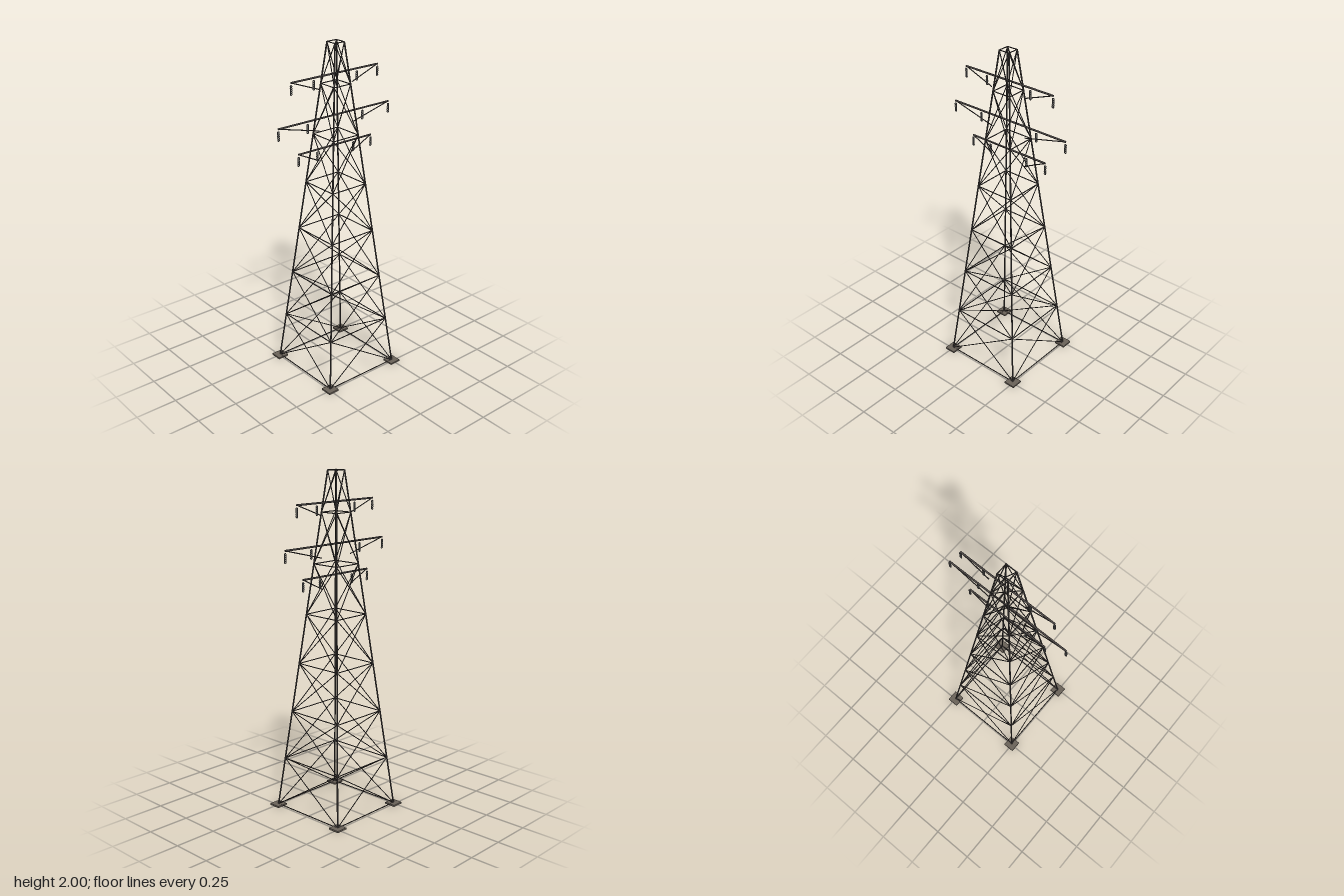
import * as THREE from 'three';

const steel = new THREE.MeshStandardMaterial({ color: 0x4a4543 });
const concrete = new THREE.MeshStandardMaterial({ color: 0x6b635a });
const ceramic = new THREE.MeshStandardMaterial({ color: 0x6a6a6a });

const V = (x, y, z) => new THREE.Vector3(x, y, z);
const UP = V(0, 1, 0);

// Straight round bar between two points
function bar(parent, name, a, b, radius) {
  const dir = b.clone().sub(a);
  const mesh = new THREE.Mesh(new THREE.CylinderGeometry(radius, radius, dir.length(), 8), steel);
  mesh.name = name;
  mesh.position.copy(a).add(b).multiplyScalar(0.5);
  mesh.quaternion.setFromUnitVectors(UP, dir.normalize());
  parent.add(mesh);
}

const BASE = 0.008, TOP = 1.997;
const halfWidth = (y) => THREE.MathUtils.lerp(0.246, 0.033, (y - BASE) / (TOP - BASE));
const levels = [BASE, 0.301, 0.594, 0.887, 1.18, 1.472, 1.764, TOP];

// Corner i (0..3) of the square tower section at height y
function corner(i, y) {
  const w = halfWidth(y);
  const sx = [1, 1, -1, -1][i % 4], sz = [1, -1, -1, 1][i % 4];
  return V(sx * w, y, sz * w);
}

// Hanging string of upright rings
const ring = new THREE.TorusGeometry(0.0055, 0.003, 6, 12);
function insulator(x, y) {
  const string = new THREE.Group();
  string.name = 'insulator';
  string.position.set(x, y, 0);
  for (let i = 0; i < 5; i++) {
    const link = new THREE.Mesh(ring, ceramic);
    link.name = 'insulatorRing';
    link.position.y = -0.02 - i * 0.0105;
    string.add(link);
  }
  return string;
}

export function createModel() {
  const model = new THREE.Group();
  model.name = 'transmissionTower';

  const tower = new THREE.Group();
  tower.name = 'latticeTower';
  model.add(tower);

  for (let i = 0; i < 4; i++) {
    // Foundation pad and tapering corner leg
    const foot = corner(i, BASE);
    const pad = new THREE.Mesh(new THREE.BoxGeometry(0.07, 0.01, 0.07), concrete);
    pad.name = 'foundationPad';
    pad.position.set(foot.x, 0.005, foot.z);
    tower.add(pad);
    bar(tower, 'cornerLeg', foot, corner(i, TOP), 0.0045);

    // Horizontal rails and crossed braces on this face
    levels.forEach((y, k) => {
      bar(tower, 'horizontalRail', corner(i, y), corner(i + 1, y), 0.003);
      if (k === levels.length - 1) return;
      const next = levels[k + 1];
      bar(tower, 'diagonalBrace', corner(i, y), corner(i + 1, next), 0.0026);
      bar(tower, 'diagonalBrace', corner(i + 1, y), corner(i, next), 0.0026);
    });
  }

  // Crossarms: height and half length
  for (const [y, half] of [[1.824, 0.305], [1.588, 0.395], [1.413, 0.263]]) {
    const arm = new THREE.Group();
    arm.name = 'crossarm';
    model.add(arm);
    bar(arm, 'crossarmBeam', V(-half, y, 0), V(half, y, 0), 0.0055);

    for (const side of [-1, 1]) {
      bar(arm, 'crossarmBrace', V(side * half, y, 0), V(side * 0.118, y - 0.07, 0), 0.003);
      // Insulators at the tip and halfway along
      for (const t of [1, 0.5]) arm.add(insulator(side * half * t, y));
    }
  }
  return model;
}
